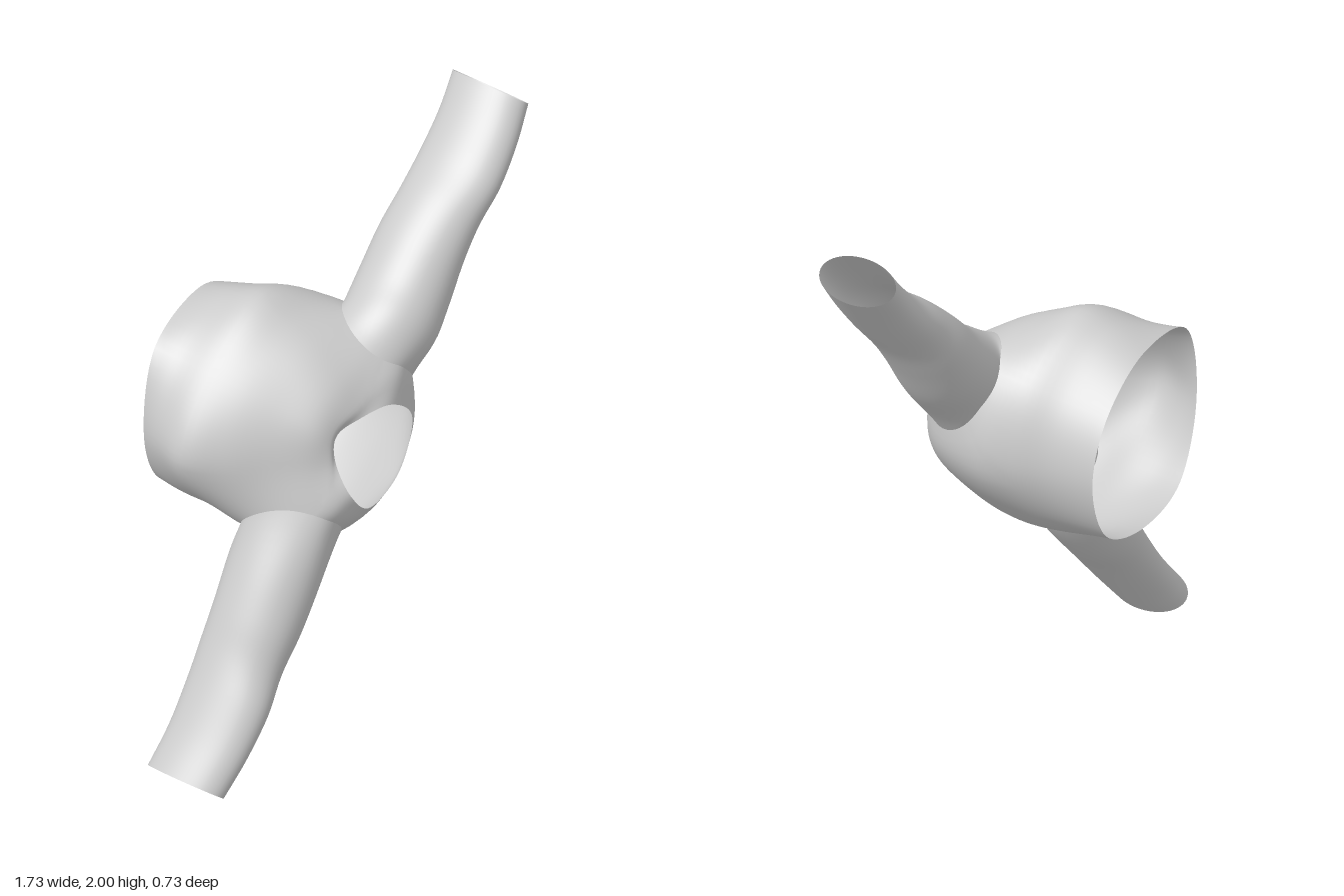
import * as THREE from 'three';

const material = new THREE.MeshStandardMaterial({ color: 0xcccccc, side: THREE.DoubleSide });
const V = (x, y, z) => new THREE.Vector3(x, y, z);

// Smooth each column of points through successive rings; returns rows of points
function loft(rings, steps) {
  const rows = Array.from({ length: (rings.length - 1) * steps + 1 }, () => []);
  rings[0].forEach((_, i) => {
    const curve = new THREE.CatmullRomCurve3(rings.map(r => r[i]), false, 'catmullrom', 0.5);
    rows.forEach((row, j) => row.push(curve.getPoint(j / (rows.length - 1))));
  });
  return rows;
}

// Skin closed rows of points, leaving out the quads that skip() selects
function skin(name, rows, skip = () => false) {
  const n = rows[0].length, index = [];
  for (let j = 0; j < rows.length - 1; j++) {
    for (let i = 0; i < n; i++) {
      if (skip(i, j)) continue;
      const a = j * n + i, b = j * n + (i + 1) % n;
      index.push(a, b, b + n, a, b + n, a + n);
    }
  }
  const geometry = new THREE.BufferGeometry().setFromPoints(rows.flat());
  geometry.setIndex(index);
  geometry.computeVertexNormals();
  const mesh = new THREE.Mesh(geometry, material);
  mesh.name = name;
  return mesh;
}

// Body rings from hem to neck: z, then radius at every 45 degrees
const CX = -0.1, CY = 1.07, COLS = 72, STEPS = 5;
const bodyRings = [
  [-0.37, [0.30, 0.31, 0.36, 0.425, 0.38, 0.36, 0.30, 0.315]],
  [-0.22, [0.33, 0.35, 0.41, 0.40, 0.40, 0.37, 0.35, 0.33]],
  [-0.10, [0.37, 0.40, 0.44, 0.39, 0.43, 0.37, 0.38, 0.345]],
  [0.02, [0.40, 0.42, 0.39, 0.35, 0.37, 0.385, 0.40, 0.35]],
  [0.14, [0.385, 0.42, 0.33, 0.28, 0.28, 0.38, 0.395, 0.335]],
  [0.24, [0.35, 0.39, 0.25, 0.21, 0.20, 0.34, 0.35, 0.305]],
  [0.31, [0.29, 0.30, 0.165, 0.145, 0.14, 0.25, 0.27, 0.275]],
  [0.335, [0.245, 0.175, 0.115, 0.11, 0.11, 0.155, 0.215, 0.25]],
];
const neckDip = [0, 0.01, -0.03, -0.06, -0.04, 0.025, 0.02, 0];

function bodyGrid() {
  const rings = bodyRings.map(([z, radii], k) => {
    const points = radii.map((r, i) => {
      const a = i * Math.PI / 4, x = CX + r * Math.cos(a);
      const lift = k === 0 ? 0.17 * (x - 0.2) ** 2 : neckDip[i] * Math.max(0, k - 5) / 2;
      return V(x, CY + r * Math.sin(a), z + lift);
    });
    const curve = new THREE.CatmullRomCurve3(points, true, 'catmullrom', 0.5);
    return Array.from({ length: COLS }, (_, i) => curve.getPoint(i / COLS));
  });
  return loft(rings, STEPS);
}

// Armholes: column and row limits of the patches cut from the body
const armholes = {
  left: { u0: 2, u1: 14, v0: 15, v1: 30 },
  right: { u0: 41, u1: 53, v0: 15, v1: 30 },
};

// Position of a grid point relative to an armhole, -1 to 1 across it
const local = (h, u, v) => [
  (2 * u - h.u0 - h.u1) / (h.u1 - h.u0),
  (2 * v - h.v0 - h.v1) / (h.v1 - h.v0),
];

// Slide grid points along the body so that each armhole becomes round
function roundArmholes(grid) {
  const sample = (u, v) => {
    const i = Math.floor(u), j = Math.min(Math.floor(v), grid.length - 2);
    const at = (row, col) => grid[row][(col + COLS) % COLS];
    const low = at(j, i).clone().lerp(at(j, i + 1), u - i);
    return low.lerp(at(j + 1, i).clone().lerp(at(j + 1, i + 1), u - i), v - j);
  };
  return grid.map((row, v) => row.map((_, col) => {
    let u = col, w = v;
    for (const h of Object.values(armholes)) {
      const wrapped = col > COLS - 12 ? col - COLS : col;
      const [a, b] = local(h, wrapped, v);
      const m = Math.max(Math.abs(a), Math.abs(b));
      if (m === 0 || m >= 1.6) continue;
      const fade = Math.min(1, (1.6 - m) / 0.6);
      const k = 1 + (m / Math.hypot(a, b) - 1) * fade;
      u = (h.u0 + h.u1 + a * k * (h.u1 - h.u0)) / 2;
      w = (h.v0 + h.v1 + b * k * (h.v1 - h.v0)) / 2;
    }
    return sample(u, w);
  }));
}

// Sleeve stations: x, y, z of centre, half width, half depth
const sleeves = {
  left: [
    [0.235, 1.34, 0.17, 0.158, 0.165],
    [0.325, 1.425, 0.16, 0.143, 0.165],
    [0.42, 1.54, 0.155, 0.125, 0.16],
    [0.51, 1.64, 0.16, 0.108, 0.155],
    [0.61, 1.735, 0.165, 0.092, 0.16],
    [0.71, 1.845, 0.16, 0.085, 0.155],
    [0.80, 1.95, 0.142, 0.082, 0.15],
  ],
  right: [
    [-0.36, 0.67, 0.16, 0.14, 0.165],
    [-0.45, 0.525, 0.16, 0.132, 0.16],
    [-0.53, 0.405, 0.155, 0.115, 0.155],
    [-0.615, 0.295, 0.165, 0.098, 0.16],
    [-0.71, 0.17, 0.16, 0.087, 0.155],
    [-0.805, 0.052, 0.142, 0.083, 0.15],
  ],
};

// Counter-clockwise loop of grid points around an armhole
function armholeLoop({ u0, u1, v0, v1 }) {
  const loop = [];
  for (let u = u0; u < u1; u++) loop.push([u, v0]);
  for (let v = v0; v < v1; v++) loop.push([u1, v]);
  for (let u = u1; u > u0; u--) loop.push([u, v1]);
  for (let v = v1; v > v0; v--) loop.push([u0, v]);
  return loop;
}

// Sleeve growing from the armhole edge into oval sections
function sleeveRows(body, hole, stations) {
  const loop = armholeLoop(hole);
  const rings = [loop.map(([u, v]) => body[v][u])];
  stations.forEach(([x, y, z, w, d], k) => {
    const p = stations[Math.max(0, k - 1)], q = stations[Math.min(stations.length - 1, k + 1)];
    const dir = V(q[0] - p[0], q[1] - p[1], 0).normalize();
    rings.push(loop.map(([u, v]) => {
      const [a, b] = local(hole, u, v);
      const angle = Math.atan2(b, a), c = w * Math.cos(angle);
      return V(x - dir.y * c, y + dir.x * c, z + d * Math.sin(angle));
    }));
  });
  return loft(rings, 5);
}

export function createModel() {
  const group = new THREE.Group();
  group.name = 'garment';
  const body = roundArmholes(bodyGrid());
  const holes = Object.values(armholes);
  group.add(skin('body', body, (i, j) =>
    holes.some(h => i >= h.u0 && i < h.u1 && j >= h.v0 && j < h.v1)));
  for (const side of ['left', 'right']) {
    group.add(skin(side + 'Sleeve', sleeveRows(body, armholes[side], sleeves[side])));
  }
  return group;
}
